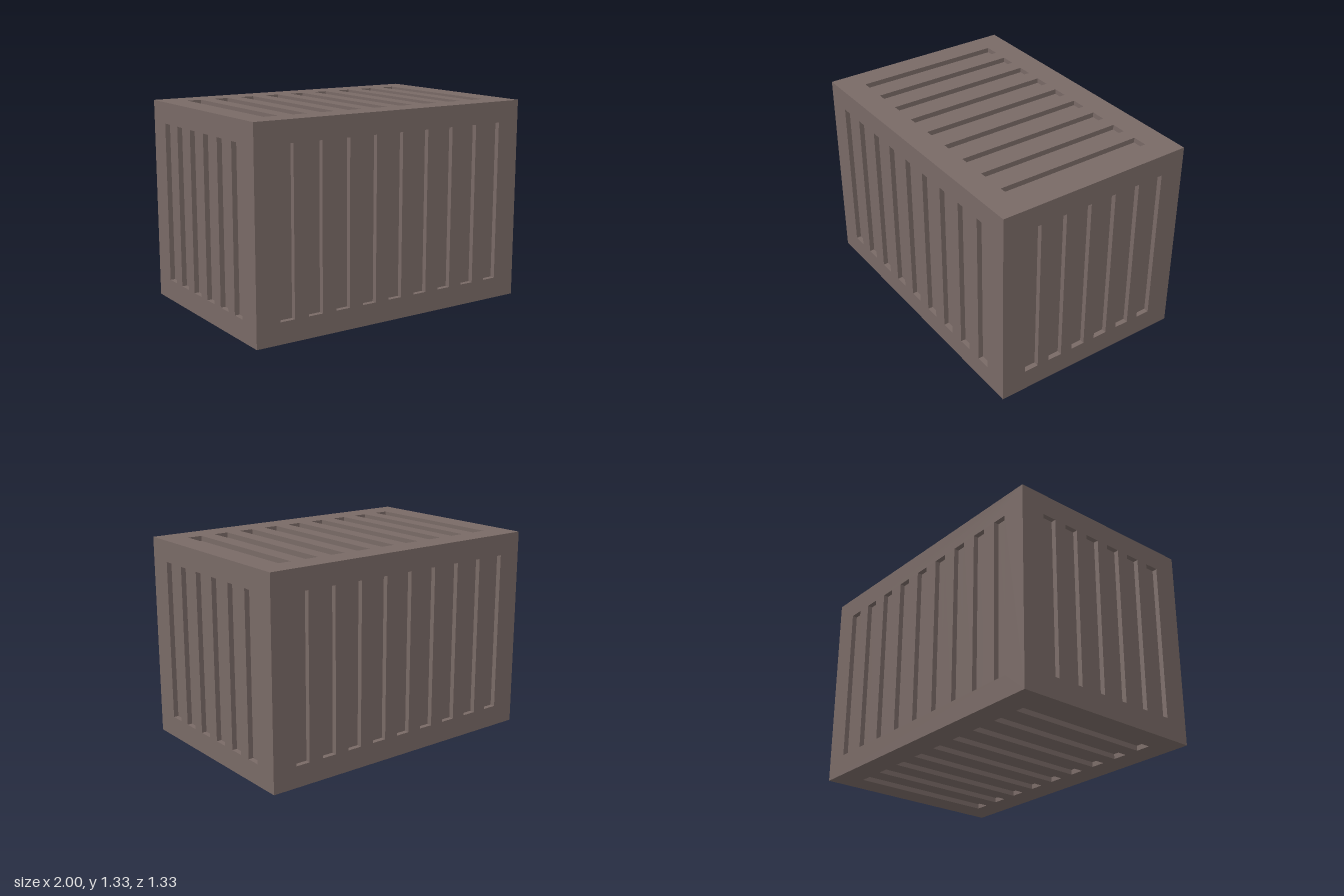
import * as THREE from 'three';
import { mergeGeometries } from 'three/addons/utils/BufferGeometryUtils.js';

const W = 2, H = 1.333, D = 1.333; // crate size
const DEPTH = 0.033;               // slot depth
const SLOT = 0.098;                // slot width

// Rectangle outline centred on (x, y)
function rect(target, x, y, w, h) {
  target.moveTo(x - w / 2, y - h / 2);
  target.lineTo(x + w / 2, y - h / 2);
  target.lineTo(x + w / 2, y + h / 2);
  target.lineTo(x - w / 2, y + h / 2);
  target.closePath();
  return target;
}

// Inside of one blind slot: an inward-facing box without its +z lid
function pocket(x, y, w, h) {
  const g = new THREE.BoxGeometry(w, h, DEPTH);
  const index = Array.from(g.index.array).filter((_, i) => i < 24 || i >= 30);
  g.setIndex(index.reverse());
  const n = g.attributes.normal;
  for (let i = 0; i < n.count; i++) n.setXYZ(i, -n.getX(i), -n.getY(i), -n.getZ(i));
  g.clearGroups();
  return g.translate(x, y, -DEPTH / 2);
}

// Flat wall facing +z with a row of upright recessed slots
function slottedWall(w, h, count, pitch, slotLength) {
  const shape = rect(new THREE.Shape(), 0, 0, w, h);
  const parts = [];
  for (let i = 0; i < count; i++) {
    const x = (i - (count - 1) / 2) * pitch;
    shape.holes.push(rect(new THREE.Path(), x, 0, SLOT, slotLength));
    parts.push(pocket(x, 0, SLOT, slotLength));
  }
  return mergeGeometries([new THREE.ShapeGeometry(shape), ...parts]);
}

export function createModel() {
  const crate = new THREE.Group();
  crate.name = 'slottedCrate';
  const material = new THREE.MeshStandardMaterial({ color: 0x796a66 });

  const longWall = slottedWall(W, H, 9, 0.197, 1.055);
  const endWall = slottedWall(D, H, 6, 0.181, 1.055);
  const lid = slottedWall(W, D, 9, 0.197, 1.0);

  // name, geometry, distance from centre, rotation about x, rotation about y
  const walls = [
    ['frontWall', longWall, D / 2, 0, 0],
    ['backWall', longWall, D / 2, 0, Math.PI],
    ['leftWall', endWall, W / 2, 0, Math.PI / 2],
    ['rightWall', endWall, W / 2, 0, -Math.PI / 2],
    ['top', lid, H / 2, -Math.PI / 2, 0],
    ['bottom', lid, H / 2, Math.PI / 2, 0],
  ];
  for (const [name, geometry, distance, rx, ry] of walls) {
    const wall = new THREE.Mesh(geometry, material);
    wall.name = name;
    wall.rotation.set(rx, ry, 0);
    wall.translateZ(distance);
    wall.position.y += H / 2;
    crate.add(wall);
  }
  return crate;
}
